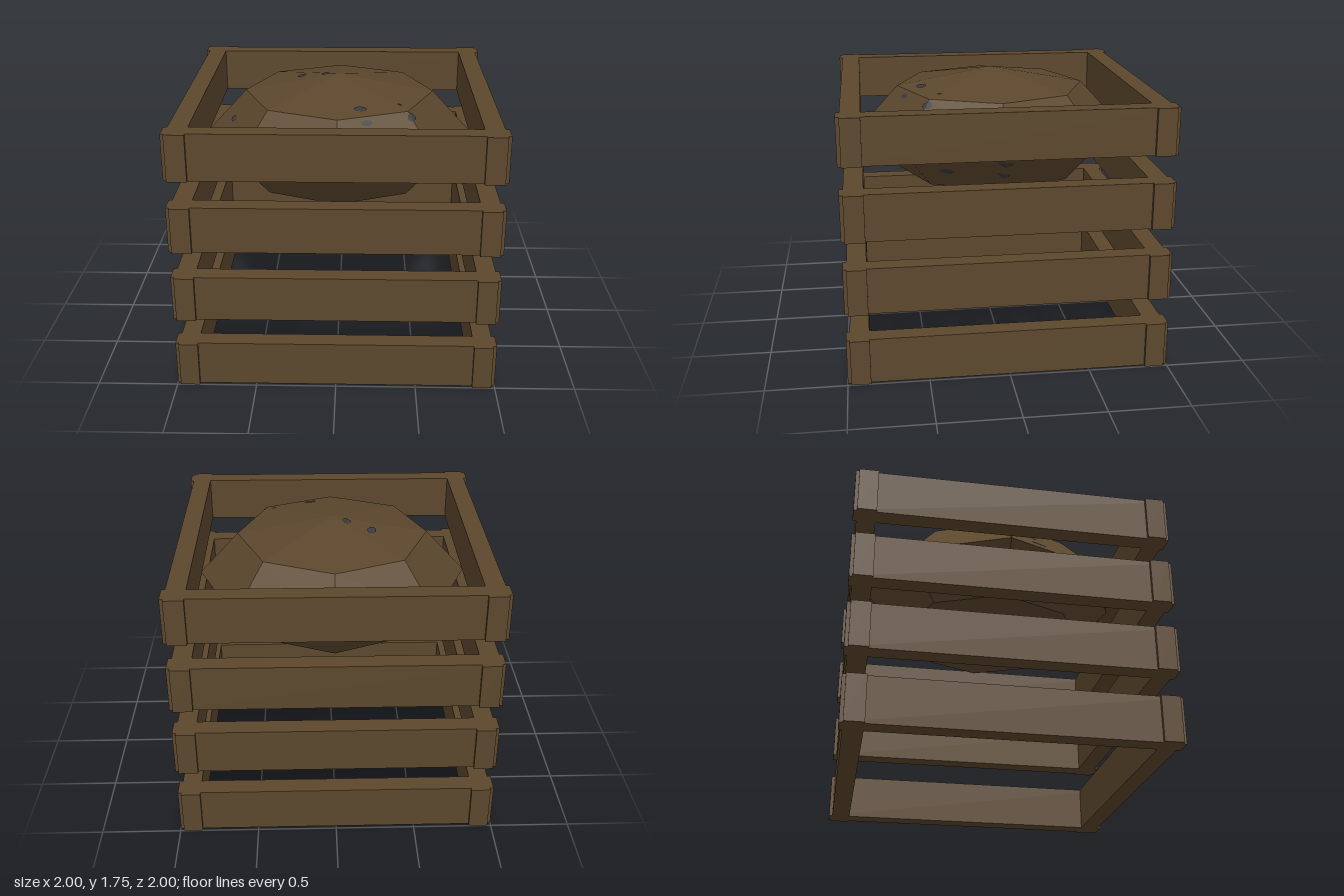
import * as THREE from 'three';

const R = 0.87, RY = 0.39, CY = 1.36;

export function createModel() {
  const model = new THREE.Group();
  model.name = 'slattedCrate';

  const wood = new THREE.MeshStandardMaterial({ color: 0x5c472d, flatShading: true });
  wood.name = 'brown wood';
  const speck = new THREE.MeshStandardMaterial({ color: 0x3b3a40, side: THREE.DoubleSide, flatShading: true });
  speck.name = 'slate speck';

  // Four open tiers of crossed slats
  const slat = new THREE.BoxGeometry(2, 0.29, 0.12);
  for (let tier = 0; tier < 4; tier++) {
    const frame = new THREE.Group();
    frame.name = `slatTier${tier + 1}`;
    ['front', 'left', 'back', 'right'].forEach((side, i) => {
      const angle = i * Math.PI / 2;
      const mesh = new THREE.Mesh(slat, wood);
      mesh.name = `${side}Slat`;
      mesh.rotation.y = angle;
      mesh.position.set(Math.sin(angle) * 0.918, 0, Math.cos(angle) * 0.918);
      frame.add(mesh);
    });
    frame.position.y = 0.145 + tier * 0.46;
    model.add(frame);
  }

  // Squashed faceted mound filling the top of the crate
  const mound = new THREE.Mesh(new THREE.SphereGeometry(R, 8, 4).scale(1, RY / R, 1), wood);
  mound.name = 'mound';
  mound.position.y = CY;
  model.add(mound);

  // Height of the mound's facets above its middle at (x, z)
  const ring = R * Math.SQRT1_2, ringY = RY * Math.SQRT1_2;
  function facetHeight(x, z) {
    const step = Math.PI / 4;
    const mid = (Math.floor(Math.atan2(z, x) / step) + 0.5) * step;
    const r = (x * Math.cos(mid) + z * Math.sin(mid)) / Math.cos(step / 2);
    return r < ring
      ? RY + (ringY - RY) * r / ring
      : Math.max(0, ringY * (R - r) / (R - ring));
  }

  // Small specks draped on the facets: x, z, half length, half width, turn, side
  const specks = [
    [-0.25, -0.12, 0.045, 0.028, 1.9, 1], [-0.09, -0.05, 0.034, 0.027, 1.2, 1],
    [-0.74, 0.21, 0.058, 0.014, 1.2, 1], [-0.68, 0.175, 0.036, 0.015, 1.2, 1],
    [0.14, 0.465, 0.043, 0.03, -0.3, 1], [0.18, 0.575, 0.036, 0.013, -0.4, 1],
    [0.385, 0.365, 0.018, 0.013, 0.6, 1], [0.46, 0.45, 0.036, 0.02, -0.9, 1],
    [-0.52, 0.525, 0.034, 0.017, 0.8, 1], [-0.585, 0.575, 0.045, 0.015, -0.9, 1],
    [0.667, 0.38, 0.053, 0.016, 1.96, -1], [0.6, 0.345, 0.055, 0.016, 1.96, -1],
    [0.82, 0.01, 0.047, 0.016, Math.PI / 2, -1], [0.735, 0.01, 0.044, 0.016, Math.PI / 2, -1],
  ];
  specks.forEach(([cx, cz, length, width, turn, side], i) => {
    const geo = new THREE.CircleGeometry(1, 8);
    const p = geo.attributes.position;
    for (let k = 0; k < p.count; k++) {
      const u = p.getX(k) * length, v = p.getY(k) * width;
      const x = cx + u * Math.cos(turn) - v * Math.sin(turn);
      const z = cz + u * Math.sin(turn) + v * Math.cos(turn);
      p.setXYZ(k, x, CY + side * (facetHeight(x, z) + 0.006), z);
    }
    geo.computeVertexNormals();
    const mesh = new THREE.Mesh(geo, speck);
    mesh.name = `speck${i + 1}`;
    model.add(mesh);
  });

  return model;
}
